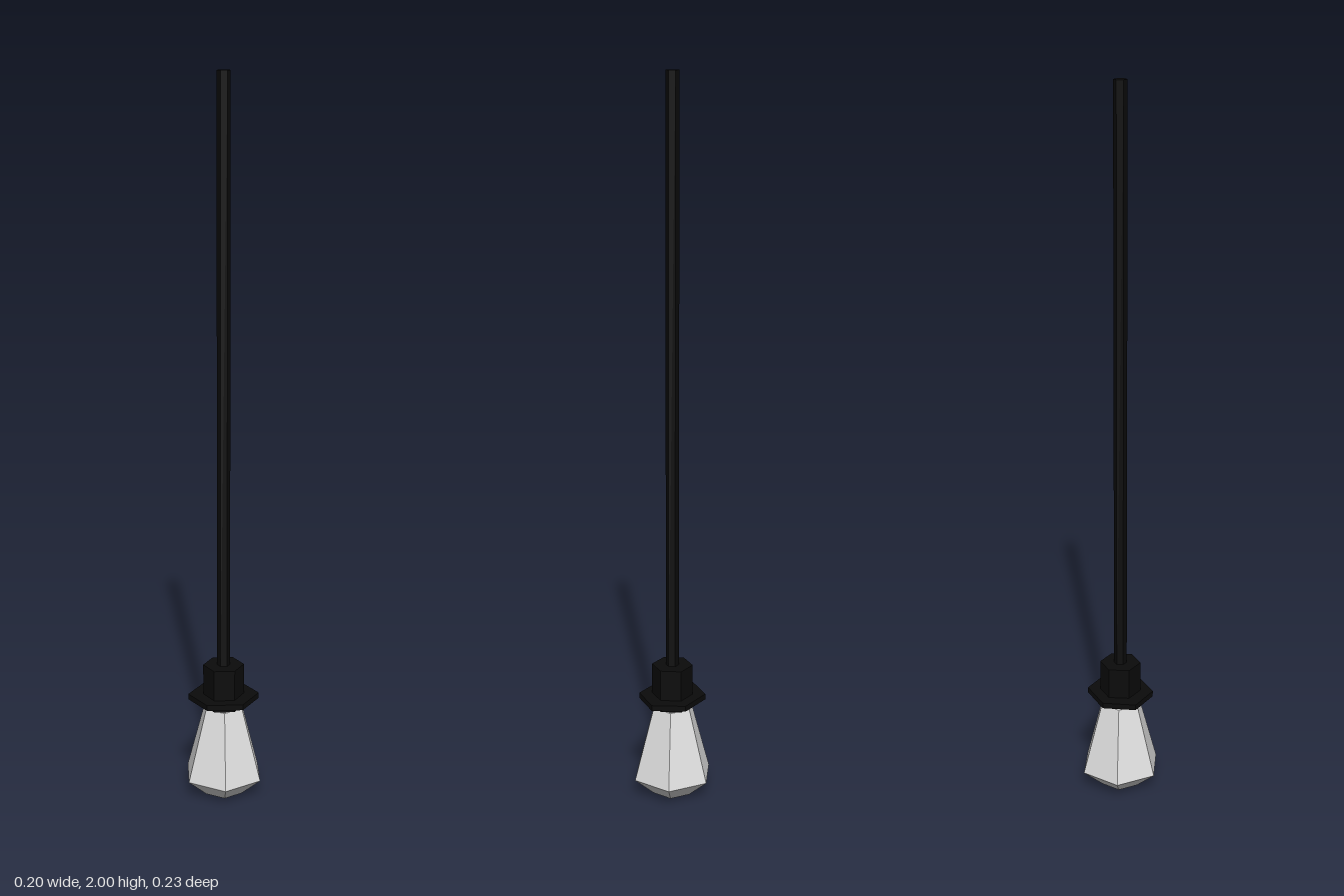
import * as THREE from 'three';

export function createModel() {
  const model = new THREE.Group();
  const black = new THREE.MeshStandardMaterial({ color: 0x0b0b0b, flatShading: true });
  black.name = 'black fitting';
  const glass = new THREE.MeshStandardMaterial({ color: 0xdedede, flatShading: true });
  glass.name = 'pale glass';

  // Six-sided ring section between two heights; turn puts corners on x instead of z
  function hex(name, material, rBottom, rTop, y0, y1, turn = 0, open = false) {
    const geometry = new THREE.CylinderGeometry(rTop, rBottom, y1 - y0, 6, 1, open);
    geometry.rotateY(turn);
    geometry.translate(0, (y0 + y1) / 2, 0);
    const mesh = new THREE.Mesh(geometry, material);
    mesh.name = name;
    model.add(mesh);
    return mesh;
  }

  const cornersOnX = Math.PI / 6;

  // Hanging cord, socket and its thin flange
  hex('cord', black, 0.018, 0.018, 0.38, 2, cornersOnX);
  hex('socket', black, 0.057, 0.057, 0.262, 0.385, cornersOnX);
  hex('flange', black, 0.099, 0.099, 0.281, 0.297, cornersOnX).scale.z = 0.915;

  // Faceted bulb: one closed profile turned in six steps
  const profile = [[0, 0], [0.058, 0], [0.116, 0.052], [0.058, 0.262], [0, 0.262]]
    .map(([r, y]) => new THREE.Vector2(r, y));
  const bulb = new THREE.Mesh(new THREE.LatheGeometry(profile, 6), glass);
  bulb.name = 'bulb';
  model.add(bulb);

  return model;
}
